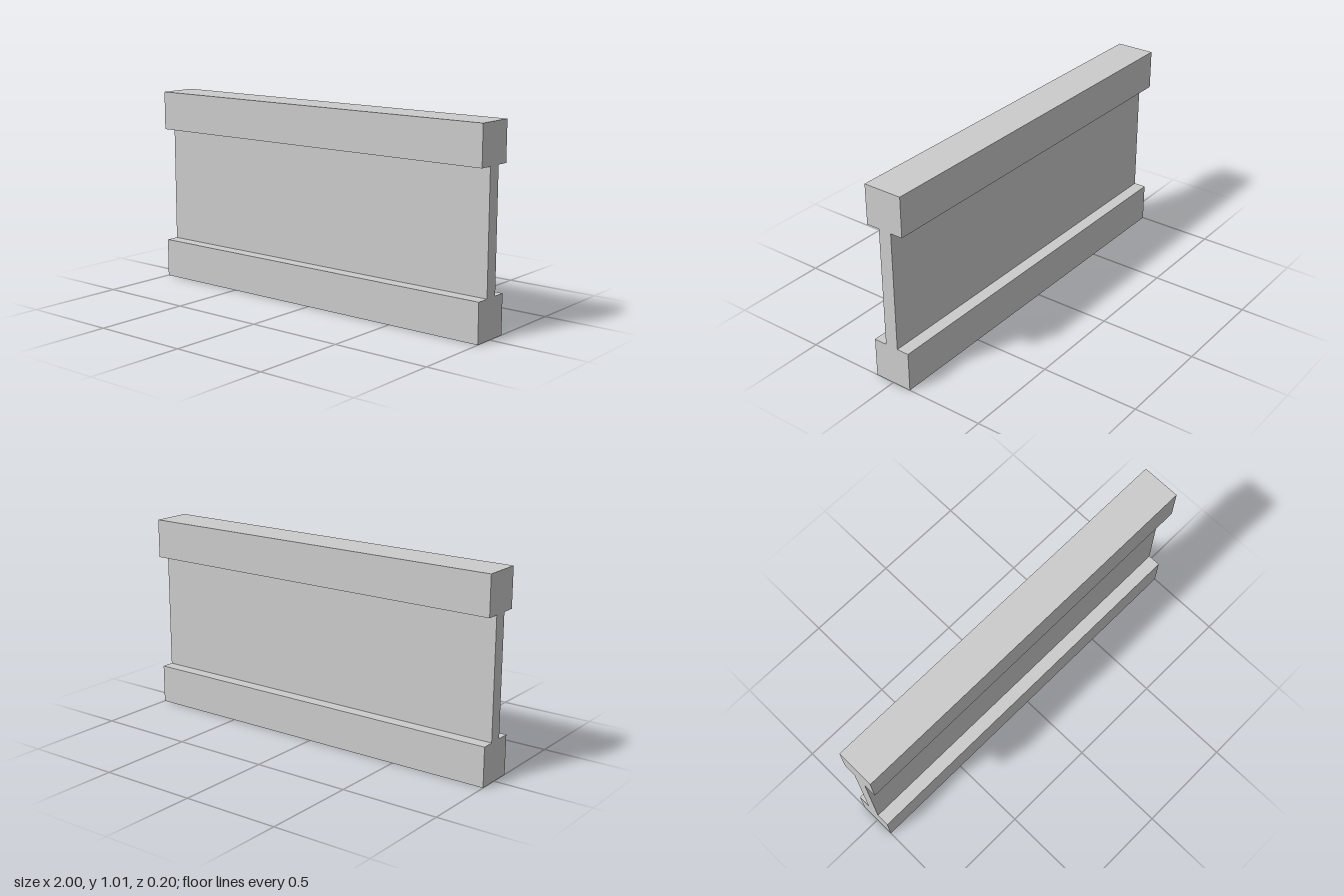
import * as THREE from 'three';

const LENGTH = 2, HEIGHT = 1.006;
const FLANGE = 0.1;                      // half width of the flanges
const WEB_FRONT = 0.032, WEB_BACK = -0.036;
const LOWER = 0.2, UPPER = 0.806;        // inner faces of the flanges

export function createModel() {
  const group = new THREE.Group();
  group.name = 'iBeam';

  // I-shaped cross-section as [z, y], mapped to shape x = -z
  const section = [
    [FLANGE, 0], [-FLANGE, 0], [-FLANGE, LOWER], [WEB_BACK, LOWER],
    [WEB_BACK, UPPER], [-FLANGE, UPPER], [-FLANGE, HEIGHT], [FLANGE, HEIGHT],
    [FLANGE, UPPER], [WEB_FRONT, UPPER], [WEB_FRONT, LOWER], [FLANGE, LOWER],
  ];
  const shape = new THREE.Shape(section.map(([z, y]) => new THREE.Vector2(-z, y)));

  // Sweep the section along x
  const geometry = new THREE.ExtrudeGeometry(shape, { depth: LENGTH, bevelEnabled: false });
  geometry.translate(0, 0, -LENGTH / 2);
  geometry.rotateY(Math.PI / 2);

  const beam = new THREE.Mesh(
    geometry,
    new THREE.MeshStandardMaterial({ color: 0xcccccc, flatShading: true }),
  );
  beam.name = 'beam';
  group.add(beam);
  return group;
}
